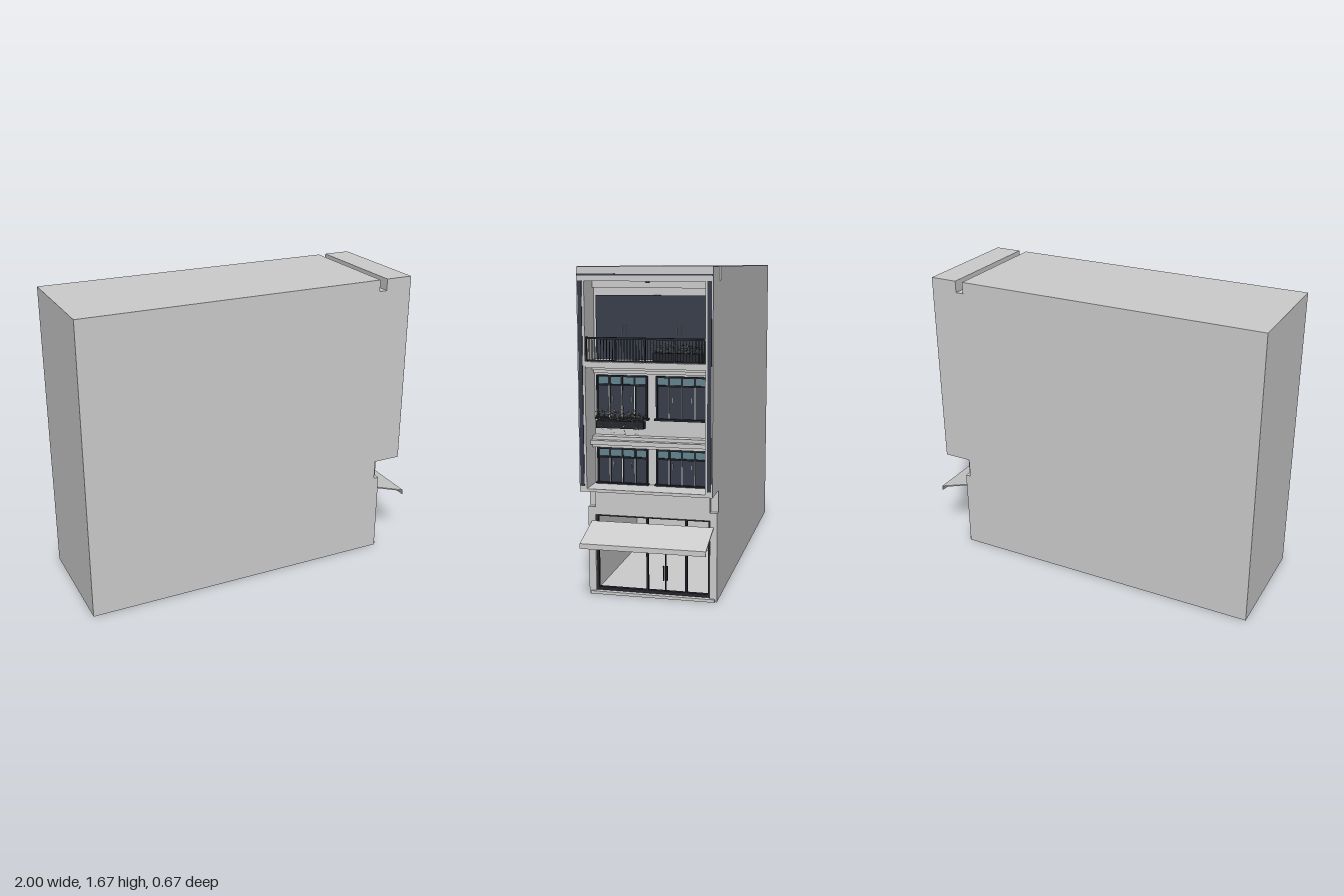
import * as THREE from 'three';
import { mergeGeometries } from 'three/addons/utils/BufferGeometryUtils.js';

function mat(name, color) {
  const m = new THREE.MeshStandardMaterial({ color });
  m.name = name;
  return m;
}

export function createModel() {
  const model = new THREE.Group();
  model.name = 'townhouse';
  const wall = mat('pale grey plaster', 0xcccccc);
  const navy = mat('dark navy panel', 0x353b49);
  const black = mat('black metal', 0x22252c);
  const glass = mat('blue glass', 0x64838f);
  const petal = mat('cream petals', 0xd6cec4);
  const leaf = mat('dark foliage', 0x4b5046);

  const add = (name, geometry, material, parent = model) => {
    const mesh = new THREE.Mesh(geometry, material);
    mesh.name = name;
    parent.add(mesh);
    return mesh;
  };
  // Box from its limits
  const boxGeo = (x0, x1, y0, y1, z0, z1) =>
    new THREE.BoxGeometry(x1 - x0, y1 - y0, z1 - z0)
      .translate((x0 + x1) / 2, (y0 + y1) / 2, (z0 + z1) / 2);
  const box = (name, m, lim, parent) => add(name, boxGeo(...lim), m, parent);
  const boxes = (name, m, list, parent) =>
    add(name, mergeGeometries(list.map(l => boxGeo(...l))), m, parent);
  const slab = (name, pts, z0, z1, m = wall) => {
    const shape = new THREE.Shape(pts.map(p => new THREE.Vector2(...p)));
    const g = new THREE.ExtrudeGeometry(shape, { depth: z1 - z0, bevelEnabled: false });
    return add(name, g.translate(0, 0, z0), m);
  };

  // Side walls and core, the core cut out for the shop and the balconies
  const roof = [[0.93, 1.675], [0.775, 1.675], [0.775, 1.61], [0.73, 1.61], [0.73, 1.675], [-1, 1.675]];
  const side = [[-1, 0], [0.8, 0], [0.8, 0.46], [0.77, 0.46], [0.77, 0.57], [0.93, 0.57], ...roof];
  const core = [[-1, 0], [0.8, 0], [0.8, 0.015], [0, 0.015], [0, 0.42], [0.8, 0.42], [0.8, 0.57],
    [0.93, 0.57], [0.93, 0.585], [0.78, 0.585], [0.78, 1.605], [0.93, 1.605], ...roof];
  slab('leftSideWall', side, 0.298, 0.335);
  slab('rightSideWall', side, -0.335, -0.298);
  slab('buildingCore', core, -0.298, 0.298);

  // Trim on the street face
  for (const s of [-1, 1]) {
    const z = s * 0.319;
    box('verticalTrim', navy, [0.929, 0.935, 0.6, 1.608, z - 0.01, z + 0.01]);
  }
  box('parapetTrim', navy, [0.925, 0.932, 1.632, 1.64, -0.334, 0.334]);
  box('doorStep', wall, [0.8, 0.81, 0, 0.015, -0.325, 0.325]);

  // Ledges, balcony floor and mouldings
  boxes('ledges', wall, [
    [0.78, 0.925, 1.187, 1.217, -0.298, 0.298],
    [0.78, 0.82, 1.165, 1.187, -0.298, 0.298],
    [0.78, 0.80, 1.148, 1.165, -0.298, 0.298],
    [0.78, 0.86, 0.795, 0.817, -0.298, 0.298],
    [0.78, 0.83, 0.817, 0.834, -0.298, 0.298],
    [0.78, 0.83, 0.777, 0.795, -0.298, 0.298],
    [0.78, 0.80, 1.57, 1.605, -0.298, 0.298],
  ]);

  // Four-leaf windows with a glazed transom
  function windowUnit(z0, z1, y0, y1) {
    const g = new THREE.Group();
    g.name = 'window';
    model.add(g);
    const split = y1 - 0.047, pitch = (z1 - z0) / 4;
    box('windowLeaves', navy, [0.779, 0.786, y0, split, z0, z1], g);
    box('transomGlass', glass, [0.779, 0.786, split, y1, z0, z1], g);
    const bars = [
      [0.78, 0.797, y0, y1, z0, z0 + 0.008], [0.78, 0.797, y0, y1, z1 - 0.008, z1],
      [0.78, 0.797, y1 - 0.008, y1, z0, z1], [0.78, 0.795, split - 0.005, split + 0.003, z0, z1],
      [0.78, 0.805, y0 - 0.006, y0 + 0.004, z0 - 0.006, z1 + 0.006],
    ];
    const strips = [];
    for (let i = 1; i < 4; i++) {
      const z = z0 + i * pitch;
      bars.push([0.78, 0.792, y0, y1, z - 0.005, z + 0.005]);
      strips.push([0.788, 0.794, y0 + 0.004, split - 0.006, z - 0.0022, z + 0.0022]);
    }
    boxes('windowFrame', black, bars, g);
    boxes('leafGaps', wall, strips, g);
    boxes('windowHandles', wall, [-1, 1].map(s => {
      const z = (z0 + z1) / 2 + s * pitch * 0.75;
      return [0.786, 0.792, y0 + 0.085, y0 + 0.11, z - 0.0012, z + 0.0012];
    }), g);
  }
  for (const [z0, z1] of [[0.022, 0.285], [-0.285, -0.022]]) {
    windowUnit(z0, z1, 0.588, 0.77);
    windowUnit(z0, z1, 0.922, 1.138);
  }

  // Top floor folding doors
  box('terraceDoors', navy, [0.779, 0.788, 1.217, 1.535, -0.285, 0.285]);
  boxes('terraceDoorHandles', wall, [0.152, 0.129, -0.127, -0.15].map(z =>
    [0.788, 0.795, 1.347, 1.385, z - 0.0012, z + 0.0012]));
  add('ceilingLamp', new THREE.CylinderGeometry(0.01, 0.012, 0.008, 12).translate(0.86, 1.601, 0), black);

  // Balcony railing
  const rails = [[0.911, 0.925, 1.327, 1.337, -0.297, 0.297], [0.914, 0.922, 1.219, 1.226, -0.297, 0.297]];
  for (let i = 0; i <= 40; i++) {
    const z = -0.294 + i * 0.0147, w = i % 10 ? 0.0015 : 0.004;
    rails.push([0.918 - w, 0.918 + w, 1.217, 1.33, z - w, z + w]);
  }
  boxes('balconyRailing', black, rails);

  // Flower troughs with scattered blossom
  let seed = 7;
  const rnd = () => (seed = (seed * 16807) % 2147483647) / 2147483647;
  function flowers(name, count, x0, x1, y0, y1, z0, z1, material, r) {
    const list = [];
    for (let i = 0; i < count; i++) {
      const g = new THREE.OctahedronGeometry(r * (0.6 + 0.7 * rnd()), 0);
      g.scale(1, 0.7, 0.8).rotateX(rnd() * 3).rotateY(rnd() * 3);
      list.push(g.translate(x0 + (x1 - x0) * rnd(), y0 + (y1 - y0) * rnd(), z0 + (z1 - z0) * rnd()));
    }
    add(name, mergeGeometries(list), material);
  }
  box('windowPlanter', black, [0.795, 0.835, 0.876, 0.914, 0.032, 0.276]);
  flowers('windowBlossom', 150, 0.79, 0.85, 0.915, 0.968, 0.03, 0.28, petal, 0.0045);
  flowers('windowFoliage', 110, 0.795, 0.845, 0.912, 0.955, 0.03, 0.28, leaf, 0.005);
  for (const z of [0.24, 0.19, 0.125, 0.065])
    flowers('trailingBlossom', 9, 0.836, 0.848, 0.848, 0.915, z - 0.012, z + 0.012, petal, 0.0035);
  box('balconyPlanter', black, [0.875, 0.91, 1.222, 1.264, -0.28, -0.035]);
  flowers('balconyBlossom', 150, 0.875, 0.925, 1.265, 1.315, -0.28, -0.035, petal, 0.0045);
  flowers('balconyFoliage', 110, 0.88, 0.92, 1.26, 1.305, -0.28, -0.035, leaf, 0.005);

  // Shop front frame, open between the bars
  const shop = [
    [0.765, 0.785, 0.015, 0.032, -0.297, 0.297], [0.765, 0.785, 0.29, 0.302, -0.297, 0.297],
    [0.765, 0.785, 0.41, 0.42, -0.297, 0.297],
  ];
  for (const z of [0.292, 0.03, -0.173, -0.292]) shop.push([0.765, 0.785, 0.015, 0.42, z - 0.005, z + 0.005]);
  shop.push([0.768, 0.782, 0.015, 0.295, -0.068, -0.063]);
  for (const z of [-0.057, -0.075]) shop.push([0.785, 0.795, 0.09, 0.167, z - 0.003, z + 0.003]);
  boxes('shopFrontFrame', black, shop);

  // Sloping awning with a hanging lip
  slab('awning', [[0.8, 0.38], [0.994, 0.317], [0.994, 0.297], [1, 0.297], [1, 0.323], [0.8, 0.387]], -0.317, 0.317);
  return model;
}
